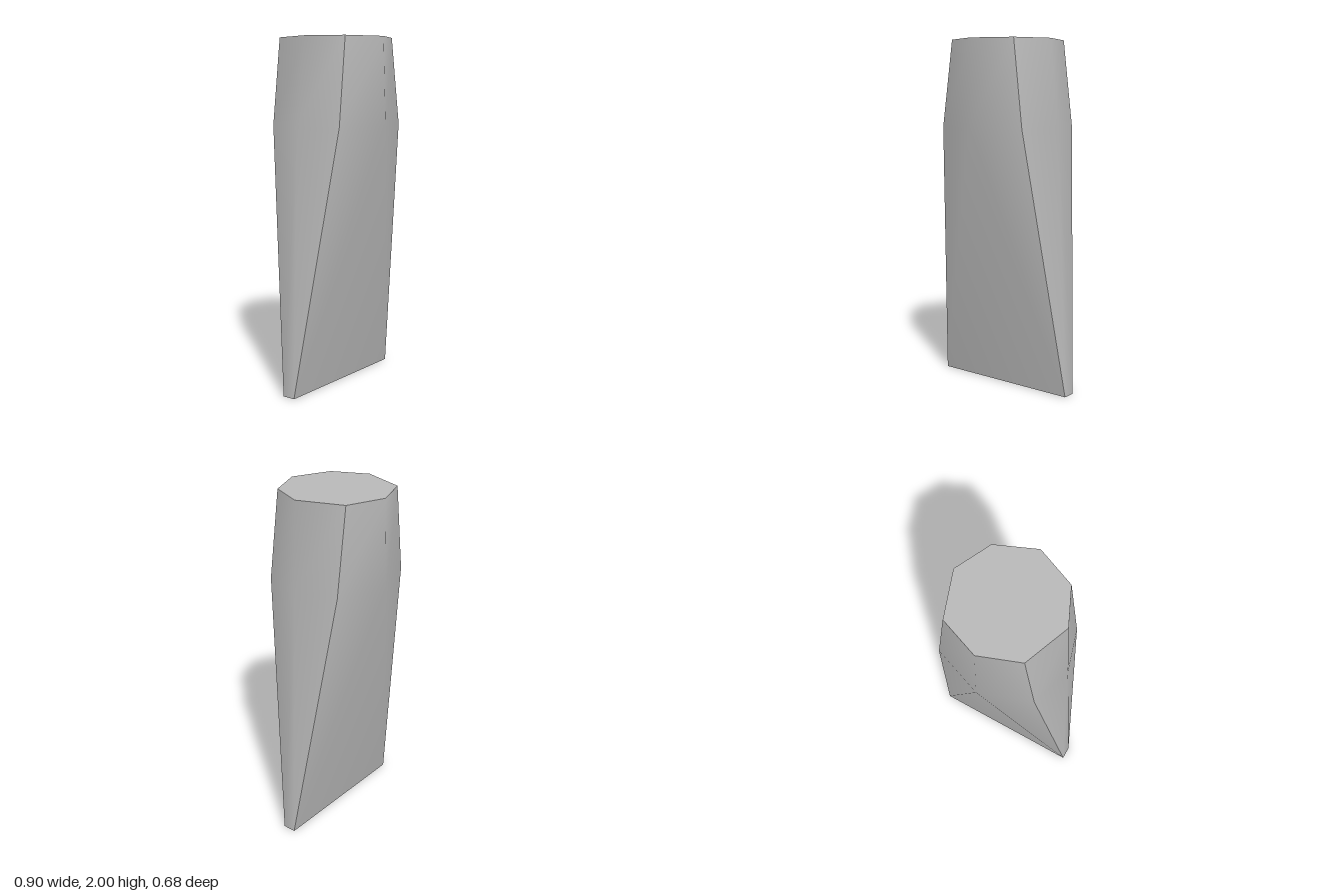
import * as THREE from 'three';

// Eight-sided ring from mirrored points, starting front-left and running anticlockwise from above.
function ring(y, cornerX, frontZ, backZ, midFrontZ, midBackZ, sideX, sideZ) {
  return [
    [-cornerX, y, frontZ], [0, y, midFrontZ], [cornerX, y, frontZ], [sideX, y, sideZ],
    [cornerX, y, backZ], [0, y, midBackZ], [-cornerX, y, backZ], [-sideX, y, sideZ],
  ];
}

function surface(name, points, index, material) {
  const geometry = new THREE.BufferGeometry();
  geometry.setAttribute('position', new THREE.Float32BufferAttribute(points.flat(), 3));
  geometry.setIndex(index);
  geometry.computeVertexNormals();
  const mesh = new THREE.Mesh(geometry, material);
  mesh.name = name;
  return mesh;
}

export function createModel() {
  const group = new THREE.Group();
  group.name = 'taperedWedge';
  const grey = new THREE.MeshStandardMaterial({ color: 0xb8b8b8 });
  grey.name = 'grey';

  const edge = [[-0.45, 0, 0.04], [0.45, 0, 0.04], [0.45, 0, -0.036], [-0.45, 0, -0.036]];
  const shoulder = ring(1.51, 0.287, 0.233, -0.236, 0.336, -0.34, 0.36, -0.002);
  const top = ring(2, 0.222, 0.223, -0.239, 0.318, -0.322, 0.316, 0.018);

  // Four panels, smooth inside and sharp where they meet
  ['frontPanel', 'leftPanel', 'backPanel', 'rightPanel'].forEach((name, k) => {
    const ids = [2 * k, 2 * k + 1, (2 * k + 2) % 8];
    const points = [edge[k], edge[(k + 1) % 4], ...ids.map(i => shoulder[i]), ...ids.map(i => top[i])];
    group.add(surface(name, points, [
      0, 1, 3, 0, 3, 2, 1, 4, 3,
      2, 3, 6, 2, 6, 5, 3, 4, 7, 3, 7, 6,
    ], grey));
  });

  // Flat end caps
  const fan = [];
  for (let i = 1; i < 7; i++) fan.push(0, i, i + 1);
  group.add(surface('topCap', top, fan, grey));
  group.add(surface('bottomEdge', edge, [0, 2, 1, 0, 3, 2], grey));
  return group;
}
